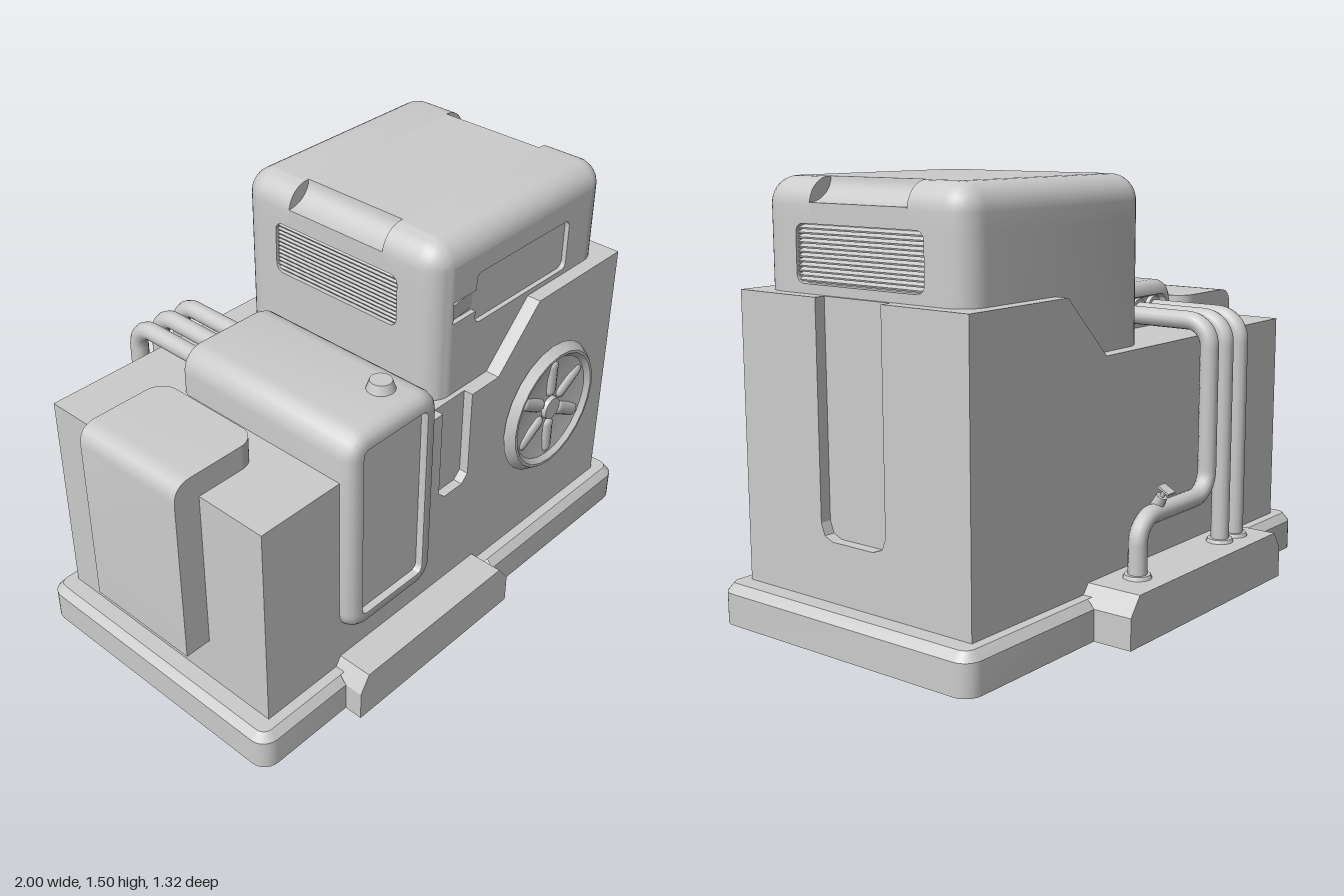
import * as THREE from 'three';
import { toCreasedNormals } from 'three/addons/utils/BufferGeometryUtils.js';

const V = (x, y, z) => new THREE.Vector3(x, y, z);

export function createModel() {
  const root = new THREE.Group();
  const mat = new THREE.MeshStandardMaterial({ color: 0xcccccc });
  const thinMat = new THREE.MeshStandardMaterial({ color: 0xcccccc, side: THREE.DoubleSide });

  const add = (name, geo, parent = root, material = mat) => {
    const m = new THREE.Mesh(geo, material);
    m.name = name;
    parent.add(m);
    return m;
  };
  const box = (name, x0, x1, y0, y1, z0, z1, parent) => {
    const g = new THREE.BoxGeometry(x1 - x0, y1 - y0, z1 - z0);
    return add(name, g.translate((x0 + x1) / 2, (y0 + y1) / 2, (z0 + z1) / 2), parent);
  };
  const poly = pts => new THREE.Shape(pts.map(p => new THREE.Vector2(...p)));
  const extrude = (shape, depth, z = 0) =>
    new THREE.ExtrudeGeometry(shape, { depth, bevelEnabled: false, curveSegments: 6 }).translate(0, 0, z);

  // Rounded rectangle outline, counter-clockwise, as [x, y] pairs
  const roundRect = (x0, x1, y0, y1, r, n = 6) => {
    const pts = [];
    [[x1 - r, y1 - r], [x0 + r, y1 - r], [x0 + r, y0 + r], [x1 - r, y0 + r]].forEach(([cx, cy], q) => {
      for (let i = 0; i <= n; i++) {
        const a = (q + i / n) * Math.PI / 2;
        pts.push([cx + r * Math.cos(a), cy + r * Math.sin(a)]);
      }
    });
    return pts;
  };

  // Skin over a list of closed rings, with optional caps and skipped quads
  const loft = (rings, { start = true, end = true, skip = () => false } = {}) => {
    const n = rings[0].length, pos = [];
    const tri = (...ps) => ps.forEach(p => pos.push(p.x, p.y, p.z));
    for (let i = 0; i < rings.length - 1; i++) for (let j = 0; j < n; j++) {
      if (skip(i, j)) continue;
      const k = (j + 1) % n, a = rings[i][j], b = rings[i][k], c = rings[i + 1][k], d = rings[i + 1][j];
      if (a.distanceTo(b) > 1e-6) tri(a, b, c);
      if (c.distanceTo(d) > 1e-6) tri(a, c, d);
    }
    const cap = (ring, flip) => {
      const c = ring.reduce((s, p) => s.add(p), V(0, 0, 0)).divideScalar(n);
      ring.forEach((p, j) => flip ? tri(c, ring[(j + 1) % n], p) : tri(c, p, ring[(j + 1) % n]));
    };
    if (start) cap(rings[0], true);
    if (end) cap(rings[rings.length - 1], false);
    const g = new THREE.BufferGeometry();
    g.setAttribute('position', new THREE.Float32BufferAttribute(pos, 3));
    return toCreasedNormals(g, 0.6);
  };

  // Thin base tray, open below, its wall interrupted where the steps join
  const frontX = 0.195, backX = 0.375, stepX = -0.6;
  const trayRing = ([h, d]) => {
    const y0 = -0.592 + d, y1 = 0.515 - d;
    const p = roundRect(-0.985 + d, 1 - d, y0, y1, 0.06 - d);
    const ring = [...p.slice(0, 7), [backX, y1], [stepX, y1], ...p.slice(7, 21), [stepX, y0], [frontX, y0], ...p.slice(21)];
    return ring.map(([x, y]) => V(x, y, h));
  };
  add('base', loft([[0, 0], [0.11, 0], [0.14, 0.025]].map(trayRing),
    { start: false, skip: (i, j) => j === 7 || j === 23 }).rotateX(-Math.PI / 2), root, thinMat);

  // Hollow steps at front and back
  const step = (name, x1, z0, z1, faceZ) => {
    const g = new THREE.Group();
    g.name = name;
    root.add(g);
    const outline = d => [[x1 - d, 0], [x1 - d, 0.11 - d / 2], [x1 - 0.05 - d / 2, 0.175 - d],
      [stepX + 0.04 + d / 2, 0.175 - d], [stepX + d, 0.11 - d / 2], [stepX + d, 0]];
    add('stepShell', extrude(poly([...outline(0), ...outline(0.01).reverse()]), z1 - z0, z0), g);
    add('stepFace', extrude(poly(outline(0)), 0.01, faceZ), g);
  };
  step('frontStep', frontX, 0.515, 0.66, 0.65);
  step('backStep', backX, -0.66, -0.44, -0.66);

  // Housing: core, front skin and side skin with recessed channels
  const rise = [[0.44, 1.13], [0.23, 0.92]];
  add('housing', extrude(poly([[-0.902, 0.13], [0.873, 0.13], [0.873, 1.13], ...rise, [-0.902, 0.92]]), 0.95, -0.455));
  add('housingFront', extrude(poly([[-0.902, 0.13], [0.913, 0.13], [0.913, 1.13], ...rise,
    [0.088, 0.92], [0.088, 0.585], [0.058, 0.555], [-0.037, 0.555], [-0.067, 0.585], [-0.067, 0.92], [-0.902, 0.92]]), 0.035, 0.495));
  add('housingSide', extrude(poly([[-0.495, 0.13], [0.455, 0.13], [0.455, 1.13], [0.105, 1.13], [0.105, 0.4],
    [0.09, 0.36], [0.05, 0.345], [-0.13, 0.345], [-0.165, 0.36], [-0.18, 0.4], [-0.18, 1.13], [-0.495, 1.13]]), 0.04)
    .rotateY(Math.PI / 2).translate(0.873, 0, 0));

  // Upper cabin: rounded shell with scooped notches and vent openings
  const X0 = -0.063, X1 = 0.863, Y0 = 0.92, Y1 = 1.5, Z0 = -0.405, Z1 = 0.477, R = 0.09, N = 8;
  const vent = { y0: 1.16, y1: 1.355, z0: -0.24, z1: 0.315 };
  const section = ([z, d, notch]) => {
    const right = [[X1 - d, Y0], [X1 - d, vent.y0], [X1 - d, vent.y1]];
    for (let i = 0; i <= N; i++) {
      const t = i / N * Math.PI / 2, s = Math.sin(t), c = Math.cos(t);
      right.push(notch ? [X1 - 0.097 * s, Y1 - 0.08 * c] : [X1 - R + (R - d) * c, Y1 - R + (R - d) * s]);
    }
    const left = right.map(([x, y]) => [X0 + X1 - x, y]).reverse();
    return [...right, ...left].map(p => V(p[0], p[1], z));
  };
  const ends = Array.from({ length: N + 1 }, (_, i) => {
    const t = i / N * Math.PI / 2;
    return [Z0 + R * (1 - Math.cos(t)), R * (1 - Math.sin(t))];
  });
  const slices = [...ends, [vent.z0, 0], [-0.172, 0], [-0.172, 0, true], [0.247, 0, true], [0.247, 0], [vent.z1, 0],
    ...ends.map(([z, d]) => [Z0 + Z1 - z, d]).reverse()];
  const lastSide = 2 * (N + 4) - 3;
  add('cabin', loft(slices.map(section), {
    end: false,
    skip: (i, j) => slices[i][0] >= vent.z0 && slices[i + 1][0] <= vent.z1 && (j === 1 || j === lastSide),
  }));
  // Cabin front with recessed panel and a ramped slot leading into it
  const face = poly([[X0 + R, Y0], [X1 - R, Y0], [X1 - R, Y1 - R], [X0 + R, Y1 - R]]);
  face.holes.push(poly([...roundRect(0.146, 0.655, 1.15, 1.34, 0.025).slice(0, 14),
    [0.146, 1.28], [0.03, 1.28], [0.03, 1.2], [0.146, 1.2], ...roundRect(0.146, 0.655, 1.15, 1.34, 0.025).slice(14)]));
  add('cabinFront', extrude(face, 0.02, Z1 - 0.02));
  box('panelBack', 0.028, 0.7, 1.12, 1.37, 0.44, 0.459);
  add('slotRamp', extrude(poly([[0.03, -0.45], [0.03, -0.474], [0.146, -0.46], [0.146, -0.45]]), 0.056)
    .rotateX(-Math.PI / 2).translate(0, 1.212, 0));

  // Louvred vents on both cabin sides
  for (const side of [1, -1]) {
    const g = new THREE.Group();
    g.name = side > 0 ? 'leftVent' : 'rightVent';
    const w = (vent.z1 - vent.z0) / 2;
    const frame = poly([[-w, vent.y0], [w, vent.y0], [w, vent.y1], [-w, vent.y1]]);
    frame.holes.push(poly(roundRect(-w + 0.002, w - 0.002, vent.y0 + 0.002, vent.y1 - 0.002, 0.03)));
    add('ventFrame', extrude(frame, 0.03, -0.03), g);
    box('ventBack', -w, w, vent.y0, vent.y1, -0.04, -0.028, g);
    for (let i = 0; i < 12; i++) {
      const slat = add('slat', new THREE.BoxGeometry(2 * w - 0.01, 0.006, 0.022), g);
      slat.position.set(0, 1.175 + i * 0.0151, -0.018);
      slat.rotation.x = 0.4;
    }
    g.position.set(side > 0 ? X1 : X0, 0, (vent.z0 + vent.z1) / 2);
    g.rotation.y = side * Math.PI / 2;
    root.add(g);
  }

  // Hood draped over the side edge
  const hood = new THREE.Shape();
  hood.moveTo(-1, 0.31).lineTo(-0.9, 0.31).lineTo(-0.9, 0.91).lineTo(-0.72, 0.91).lineTo(-0.72, 1.01).lineTo(-0.93, 1.01);
  hood.quadraticCurveTo(-1, 1.01, -1, 0.94);
  add('sideHood', toCreasedNormals(extrude(hood, 0.447, -0.187), 0.6));
  const lip = new THREE.Shape();
  lip.moveTo(-0.72, -0.26).absarc(-0.72, -0.19, 0.07, -Math.PI / 2, 0).absarc(-0.72, 0.117, 0.07, 0, Math.PI / 2);
  add('hoodLip', toCreasedNormals(extrude(lip, 0.1).rotateX(-Math.PI / 2).translate(0, 0.91, 0), 0.6));

  // Tank with recessed front and back, and filler cap
  const tankSteps = [[-0.175, 0.06], [-0.197, 0.052], [-0.197, 0.03], [-0.183, 0.008], [-0.165, 0], [0.53, 0],
    [0.552, 0.007], [0.568, 0.022], [0.575, 0.042], [0.575, 0.062], [0.55, 0.066]];
  add('tank', loft(tankSteps.map(([z, d]) =>
    roundRect(-0.565 + d, -0.137 - d, 0.285 + d, 1.09 - d, Math.max(0.085 - d, 0.025)).map(p => V(p[0], p[1], z)))));
  add('tankCap', new THREE.CylinderGeometry(0.038, 0.05, 0.035, 16).translate(-0.277, 1.105, 0.44));

  // Round fan held off the housing by a shaft, with hub and six spokes
  const fan = new THREE.Group();
  fan.name = 'fan';
  fan.position.set(0.518, 0.66, 0.53);
  root.add(fan);
  const rim = [[0, 0.014], [0.25, 0.014], [0.257, 0.02], [0.232, 0.053], [0.222, 0.053], [0.205, 0.036],
    [0.13, 0.028], [0.045, 0.028], [0.042, 0.045], [0, 0.045]];
  add('fanDish', toCreasedNormals(new THREE.LatheGeometry(rim.map(p => new THREE.Vector2(...p)), 24).rotateX(Math.PI / 2), 0.5), fan);
  add('fanShaft', new THREE.CylinderGeometry(0.04, 0.04, 0.02, 16).rotateX(Math.PI / 2).translate(0, 0, 0.007), fan);
  for (let i = 0; i < 6; i++) {
    const spoke = add('spoke', new THREE.CapsuleGeometry(0.026, 0.1, 4, 10).scale(1, 1, 0.6).translate(0, 0.125, 0), fan);
    spoke.position.z = 0.028;
    spoke.rotation.z = i * Math.PI / 3;
  }

  // Pipes with rounded bends
  const pipe = (name, pts) => {
    const path = new THREE.CurvePath(), r = 0.085;
    let from = pts[0];
    for (let i = 1; i < pts.length - 1; i++) {
      const p = pts[i];
      const a = p.clone().add(pts[i - 1].clone().sub(p).setLength(r));
      const b = p.clone().add(pts[i + 1].clone().sub(p).setLength(r));
      path.add(new THREE.LineCurve3(from, a));
      path.add(new THREE.CubicBezierCurve3(a, a.clone().lerp(p, 0.55), b.clone().lerp(p, 0.55), b));
      from = b;
    }
    path.add(new THREE.LineCurve3(from, pts[pts.length - 1]));
    add(name, new THREE.TubeGeometry(path, 90, 0.033, 12));
  };
  const flange = (x, y, z, rx) => add('pipeFlange', new THREE.CylinderGeometry(0.045, 0.05, 0.014, 16).rotateX(rx).translate(x, y, z));
  for (const x of [-0.452, -0.352, -0.252]) {
    const start = [V(x, 0.985, -0.165), V(x, 0.985, -0.55)];
    flange(x, 0.985, -0.182, -Math.PI / 2);
    if (x < -0.3) {
      pipe('pipe', [...start, V(x, 0.17, -0.55)]);
      flange(x, 0.181, -0.55, 0);
    } else {
      pipe('branchPipe', [...start, V(x, 0.375, -0.55), V(0.178, 0.375, -0.55), V(0.178, 0.17, -0.55)]);
      flange(0.178, 0.181, -0.55, 0);
    }
  }

  // Valve on the branch pipe
  const valve = new THREE.Group();
  valve.name = 'valve';
  valve.position.set(0.063, 0.4, -0.55);
  valve.rotation.x = -0.5;
  root.add(valve);
  add('valveBody', new THREE.CylinderGeometry(0.02, 0.024, 0.045, 10).translate(0, 0.015, 0), valve);
  add('valveStem', new THREE.CylinderGeometry(0.008, 0.008, 0.05, 8).translate(0, 0.045, 0), valve);
  box('valveHandle', -0.022, 0.022, 0.064, 0.071, -0.027, 0.022, valve);

  return root;
}
